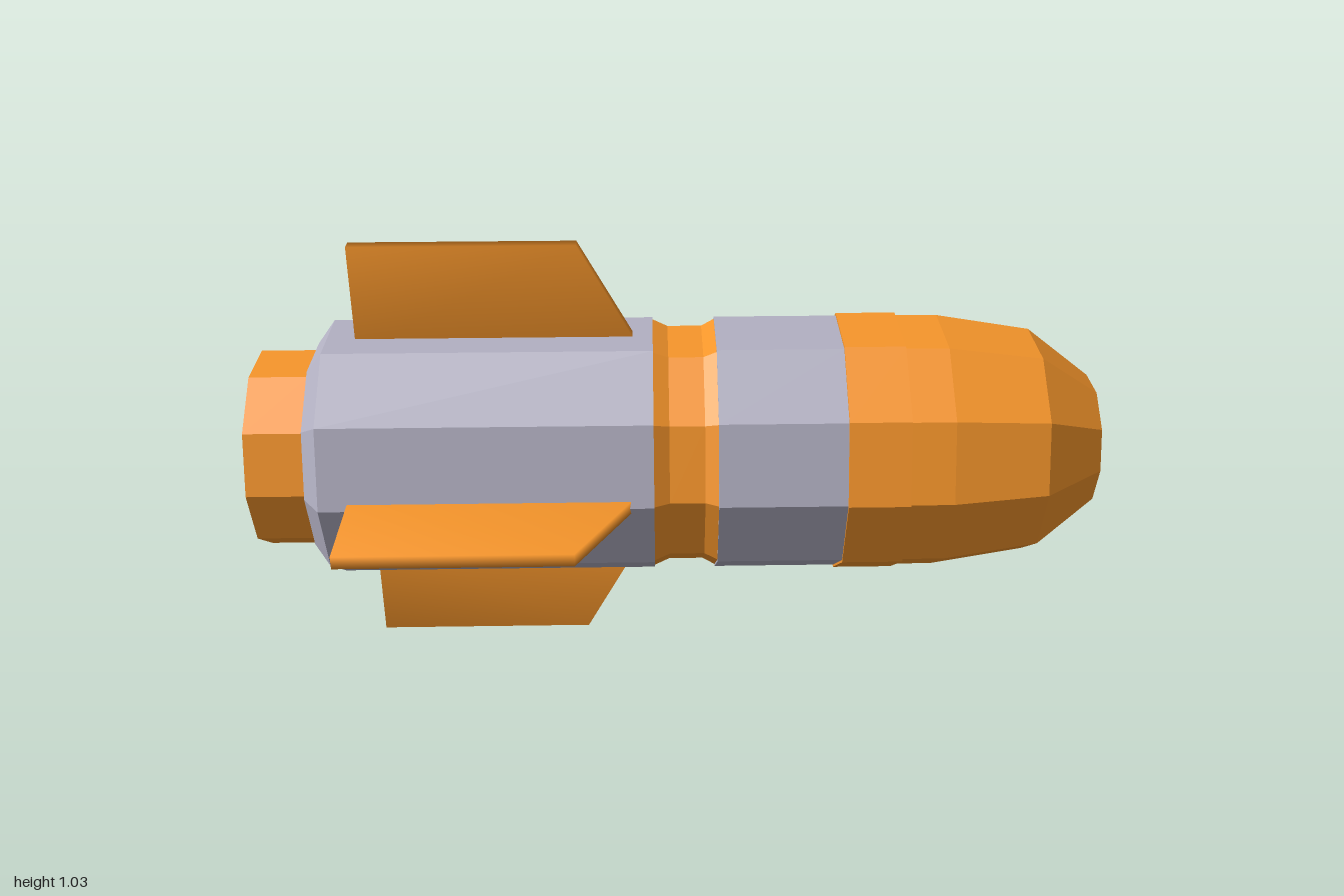
import * as THREE from 'three';
import { mergeVertices } from 'three/addons/utils/BufferGeometryUtils.js';

const SIDES = 10;
const ORANGE = 0xf7962b;
const GREY = 0xb2b0c2;

const flat = (color) => new THREE.MeshStandardMaterial({ color, flatShading: true });

// Ten-sided shell turned about the x axis; profile is [x, radius] from tail to nose
function turned(name, profile, material) {
  const points = profile.map(([x, r]) => new THREE.Vector2(r, x));
  const geometry = new THREE.LatheGeometry(points, SIDES).rotateZ(-Math.PI / 2);
  const mesh = new THREE.Mesh(geometry, material);
  mesh.name = name;
  return mesh;
}

// Swept fin plate with softly shared normals
function finGeometry() {
  const thickness = 0.03;
  const shape = new THREE.Shape([
    [-0.76, 0.26], [-0.105, 0.26], [-0.245, 0.515], [-0.76, 0.515],
  ].map(([x, y]) => new THREE.Vector2(x, y)));
  const geometry = new THREE.ExtrudeGeometry(shape, { depth: thickness, bevelEnabled: false });
  geometry.translate(0, 0, -thickness / 2);
  geometry.deleteAttribute('normal');
  geometry.deleteAttribute('uv');
  const merged = mergeVertices(geometry);
  merged.computeVertexNormals();
  return merged;
}

export function createModel() {
  const model = new THREE.Group();
  model.name = 'rocket';
  const orange = flat(ORANGE);
  const grey = flat(GREY);

  const rocket = new THREE.Group();
  rocket.name = 'rocketBody';
  rocket.position.y = 0.515;
  model.add(rocket);

  rocket.add(
    // Open exhaust ring; the body's end closes it inside
    turned('nozzle', [[-0.865, 0.16], [-1, 0.16], [-1, 0.234], [-0.865, 0.234]], orange),
    // Main cylinder with a chamfered tail
    turned('rearBody', [[-0.865, 0], [-0.865, 0.25], [-0.825, 0.305], [-0.075, 0.305], [-0.075, 0.298]], grey),
    // Recessed waist between the two grey sections
    turned('waistBand', [[-0.075, 0.3], [-0.04, 0.284], [0.04, 0.284], [0.07, 0.3]], orange),
    turned('frontBody', [[0.07, 0.298], [0.07, 0.305], [0.36, 0.305]], grey),
    // Raised collar at the base of the nose
    turned('noseCollar', [[0.36, 0.3], [0.36, 0.311], [0.5, 0.311], [0.5, 0.3]], orange),
    turned('nose', [[0.5, 0.305], [0.6, 0.304], [0.82, 0.269], [0.965, 0.157], [1, 0]], orange),
  );

  // Four fins at right angles
  const geometry = finGeometry();
  const finMaterial = new THREE.MeshStandardMaterial({ color: ORANGE });
  ['topFin', 'frontFin', 'bottomFin', 'backFin'].forEach((name, i) => {
    const fin = new THREE.Mesh(geometry, finMaterial);
    fin.name = name;
    fin.rotation.x = i * Math.PI / 2;
    rocket.add(fin);
  });

  return model;
}
